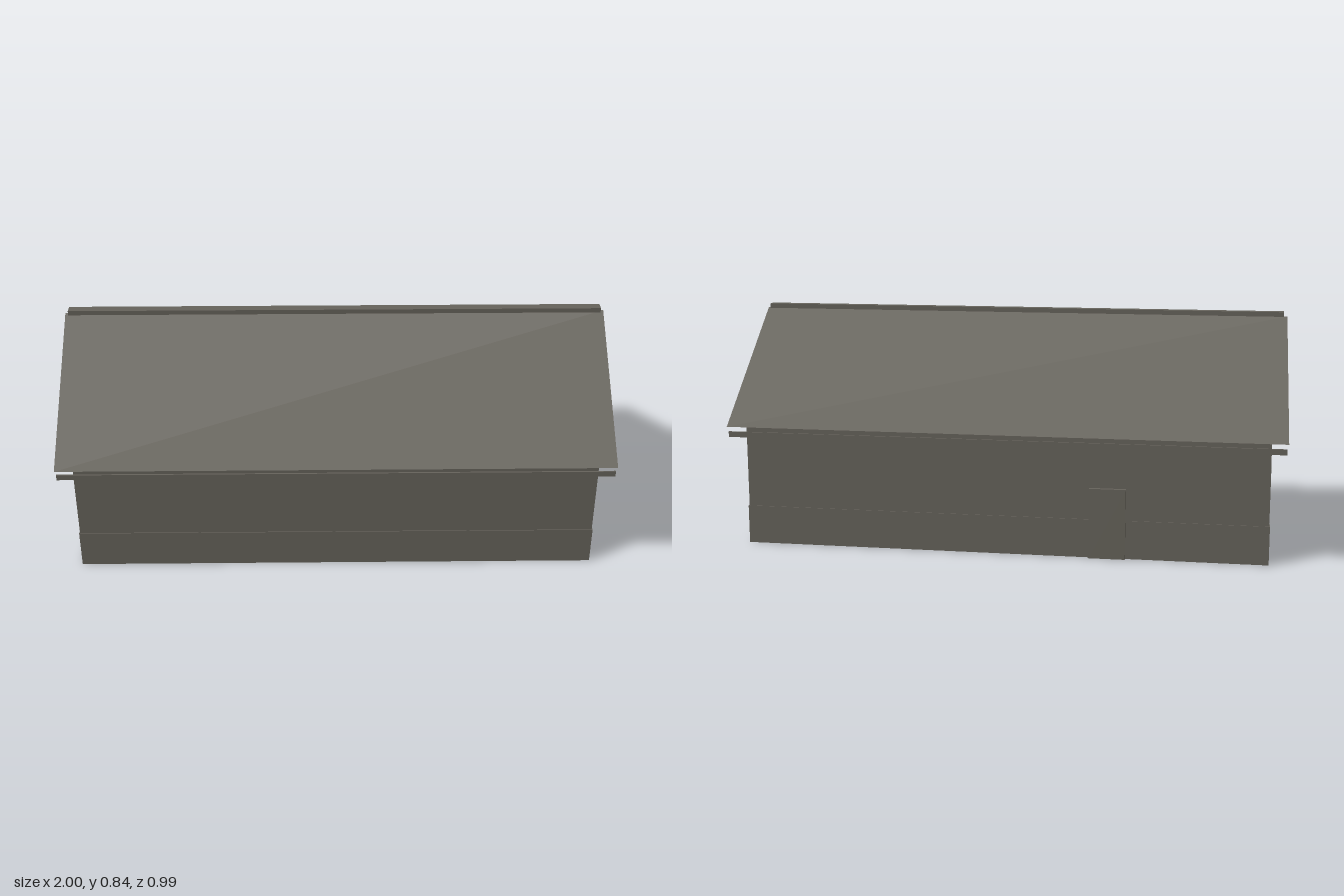
import * as THREE from 'three';

export function createModel() {
  const group = new THREE.Group();
  group.name = 'barn';
  const grey = new THREE.MeshStandardMaterial({ color: 0x66635b, side: THREE.DoubleSide });
  grey.name = 'weathered grey';

  const add = (name, geometry) => {
    const mesh = new THREE.Mesh(geometry, grey);
    mesh.name = name;
    group.add(mesh);
    return mesh;
  };
  // Box given by its lower and upper limits on each axis
  const box = (name, [x0, x1], [y0, y1], [z0, z1]) =>
    add(name, new THREE.BoxGeometry(x1 - x0, y1 - y0, z1 - z0))
      .position.set((x0 + x1) / 2, (y0 + y1) / 2, (z0 + z1) / 2);
  const rectangle = (w, h) => [[-w, -h], [w, -h], [w, h], [-w, h]].map(([x, y]) => new THREE.Vector2(x, y));

  // Walls and gables in one piece, closed below at plinth height
  const wallX = 0.945, wallZ = 0.44, eaveY = 0.445, plinthY = 0.14;
  const gable = new THREE.Shape([
    [-wallZ, plinthY], [wallZ, plinthY], [wallZ, eaveY], [0, 0.82], [-wallZ, eaveY],
  ].map(([x, y]) => new THREE.Vector2(x, y)));
  add('walls', new THREE.ExtrudeGeometry(gable, { depth: wallX * 2, bevelEnabled: false })
    .translate(0, 0, -wallX).rotateY(Math.PI / 2));

  // Plinth: a thin band, open underneath
  const band = new THREE.Shape(rectangle(wallX + 0.003, wallZ + 0.003));
  band.holes.push(new THREE.Path(rectangle(wallX - 0.001, wallZ - 0.001)));
  add('plinth', new THREE.ExtrudeGeometry(band, { depth: plinthY, bevelEnabled: false }).rotateX(-Math.PI / 2));

  // Thin roof sheets and a gutter on each long side
  const ridgeY = 0.825, roofZ = 0.493, rise = ridgeY - eaveY;
  for (const side of [1, -1]) {
    const sheet = new THREE.PlaneGeometry(2, Math.hypot(rise, roofZ))
      .rotateX(-Math.atan2(roofZ, rise));
    if (side < 0) sheet.rotateY(Math.PI);
    sheet.translate(0, (ridgeY + eaveY) / 2, side * roofZ / 2);
    add('roofSlope', sheet);
    const z = side * 0.486;
    box('gutter', [-0.995, 0.995], [0.407, 0.427], [z - 0.003, z + 0.003]);
  }
  box('ridgeCap', [-0.987, 0.987], [0.825, 0.842], [-0.018, 0.018]);

  // Double doors in one gable
  box('barnDoorLeaf', [0.94, 0.96], [0, 0.382], [0.001, 0.201]);
  box('barnDoorLeaf', [0.94, 0.96], [0, 0.382], [-0.201, -0.001]);

  // Single doors in the other gable and the back wall
  box('gableDoor', [-0.96, -0.94], [0, 0.255], [-0.065, 0.065]);
  box('backDoor', [-0.445, -0.315], [0, 0.255], [-0.454, -0.435]);

  return group;
}
